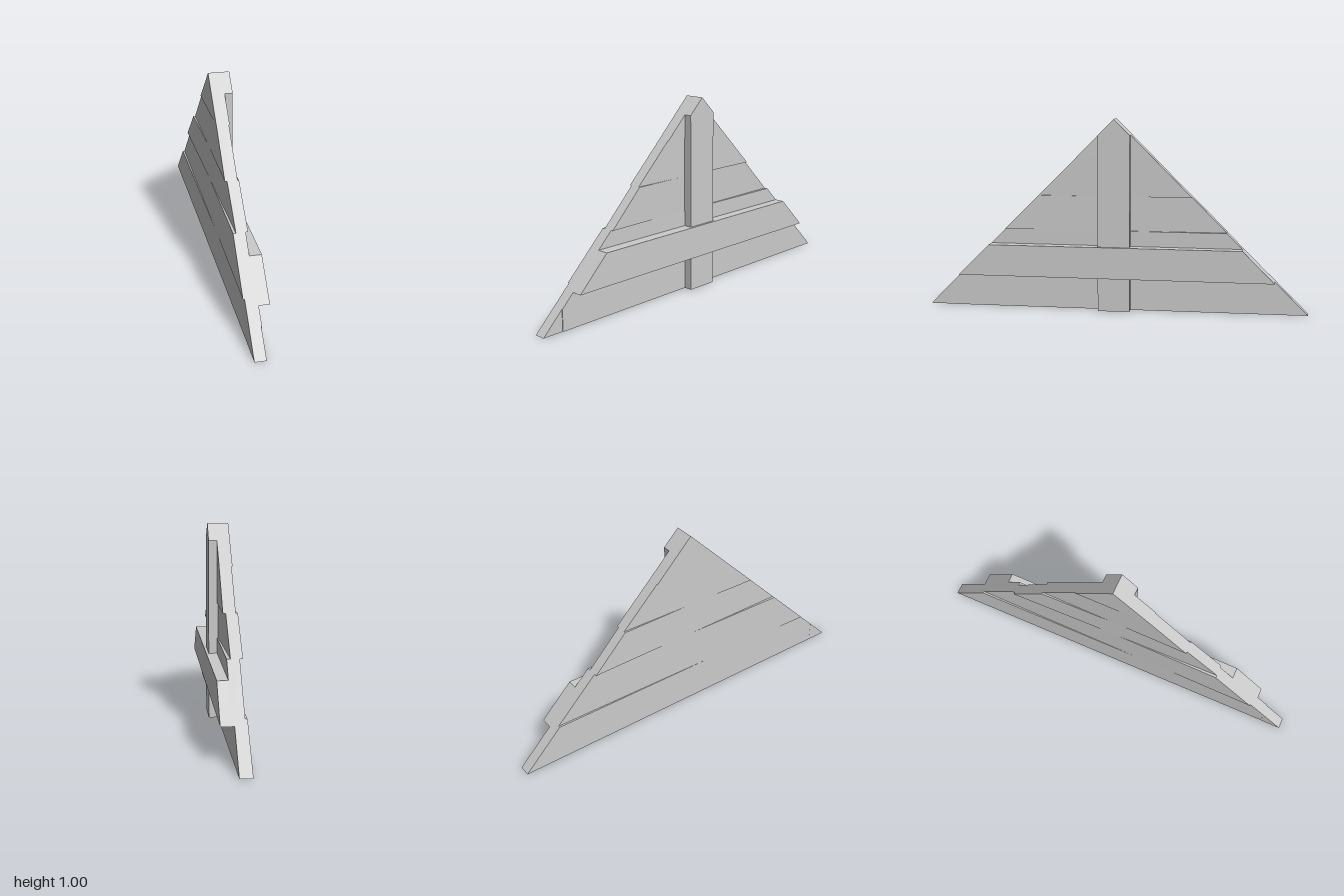
import * as THREE from 'three';

const material = new THREE.MeshStandardMaterial({ color: 0xcccccc, flatShading: true });

// Upright slab: outline is a list of [z, y], thickness runs from x0 to x1,
// skew shifts x along z so the board sits slightly out of line.
function slab(name, outline, x0, x1, skew = 0) {
  const shape = new THREE.Shape(outline.map(([z, y]) => new THREE.Vector2(z, y)));
  const geo = new THREE.ExtrudeGeometry(shape, { depth: x1 - x0, bevelEnabled: false });
  geo.rotateY(-Math.PI / 2).translate(x1, 0, 0);
  const p = geo.attributes.position;
  for (let i = 0; i < p.count; i++) p.setX(i, p.getX(i) + skew * p.getZ(i));
  geo.computeVertexNormals();
  const mesh = new THREE.Mesh(geo, material);
  mesh.name = name;
  return mesh;
}

// Band of the gable triangle between two heights, with its ends cut on the slope
function band(y0, y1) {
  const a = 1 - y0, b = 1 - y1;
  return b > 0 ? [[-a, y0], [a, y0], [b, y1], [-b, y1]] : [[-a, y0], [a, y0], [0, 1]];
}

export function createModel() {
  const group = new THREE.Group();
  group.name = 'gablePanel';

  // Horizontal planks: bottom, top, left face, right face, skew
  const planks = [
    [0.2, 0.42, -0.0535, 0.007, -0.005],
    [0.42, 0.6, -0.054, 0.004, 0.02],
    [0.6, 0.8, -0.0545, 0.007, -0.006],
    [0.8, 1, -0.057, 0.009, 0.005],
  ];
  planks.forEach(([y0, y1, x0, x1, skew], i) =>
    group.add(slab(`plank${i + 2}`, band(y0, y1), x0, x1, skew)));

  // Bottom plank, snapped near its front tip
  group.add(slab('plank1', [[-1, 0], [0.89, 0], [0.89, 0.11], [0.8, 0.2], [-0.8, 0.2]], -0.055, 0.005, 0.006));
  group.add(slab('plankTip', [[0.89, 0], [1, 0], [0.89, 0.11]], -0.05, 0.007));

  // Upright batten with a pointed top, and the cross beam over it
  const w = 0.083;
  group.add(slab('uprightBatten', [[-w, 0], [w, 0], [w, 1 - w], [0, 1], [-w, 1 - w]], 0, 0.05));
  group.add(slab('crossBeam', band(0.175, 0.34), 0, 0.063));
  return group;
}
